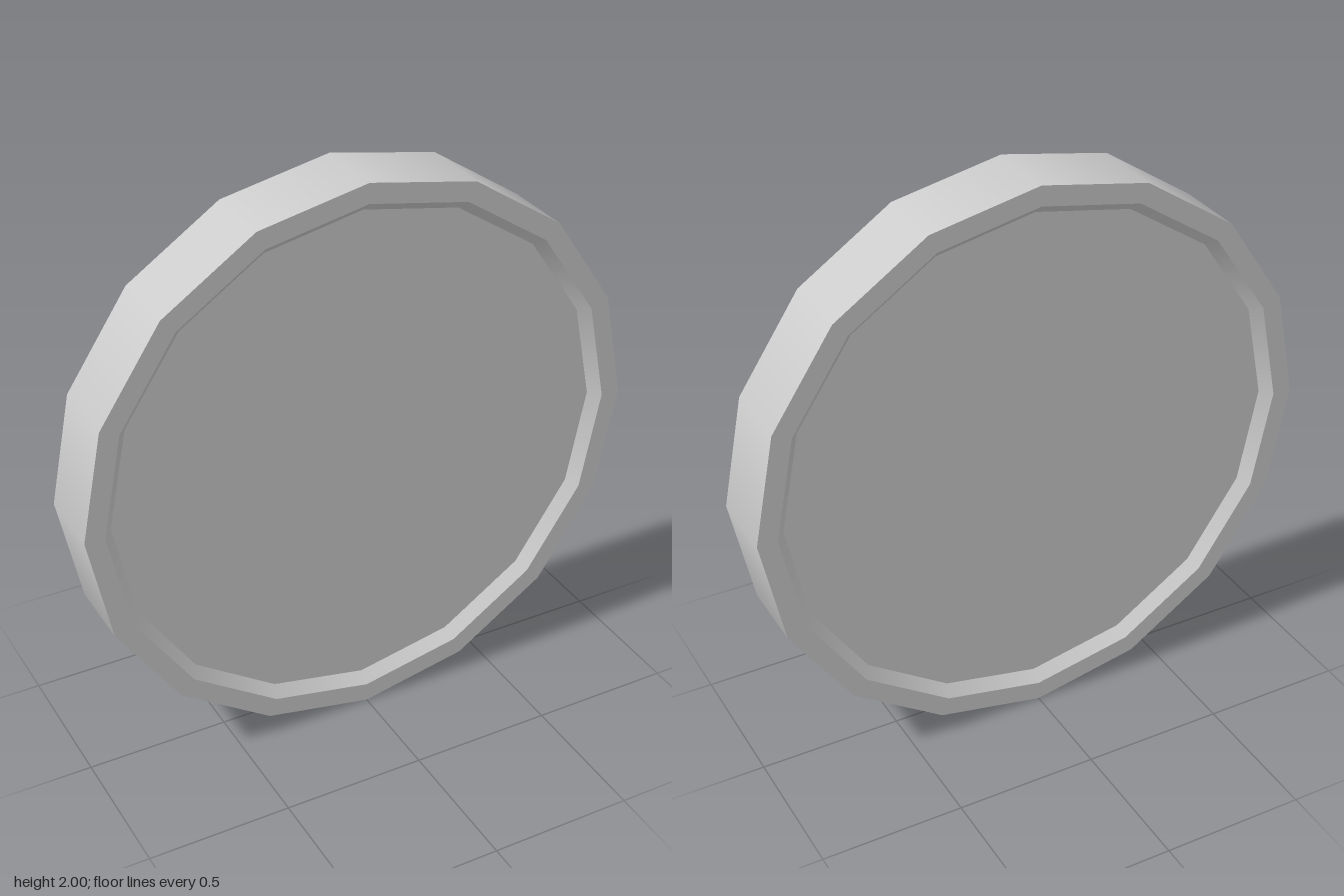
import * as THREE from 'three';

const SIDES = 16;
const HALF = 0.13;      // half thickness
const RECESS = 0.04;    // how far the faces sit below the rims
const R_OUT = 1, R_RIM = 0.93, R_FACE = 0.895;

export function createModel() {
  const model = new THREE.Group();
  model.name = 'roundDisc';
  const material = new THREE.MeshStandardMaterial({ color: 0xcccccc });

  // One turned band between two [radius, z] points: smooth around, sharp at its ends
  function band(name, a, b) {
    const geometry = new THREE.LatheGeometry([new THREE.Vector2(...a), new THREE.Vector2(...b)], SIDES);
    geometry.rotateX(Math.PI / 2);
    const mesh = new THREE.Mesh(geometry, material);
    mesh.name = name;
    return mesh;
  }

  // Outer edge
  model.add(band('outerEdge', [R_OUT, -HALF], [R_OUT, HALF]));

  // Rim, sloped inner wall and recessed face, the same on front and back
  for (const side of ['front', 'back']) {
    const group = new THREE.Group();
    group.name = side + 'Side';
    group.add(
      band('rim', [R_OUT, HALF], [R_RIM, HALF]),
      band('innerBevel', [R_RIM, HALF], [R_FACE, HALF - RECESS]),
      band('recessedFace', [R_FACE, HALF - RECESS], [0, HALF - RECESS]),
    );
    if (side === 'back') group.rotation.y = Math.PI;
    model.add(group);
  }

  // Stand the disc upright on the ground
  model.children.forEach((part) => { part.position.y = R_OUT; });
  return model;
}
